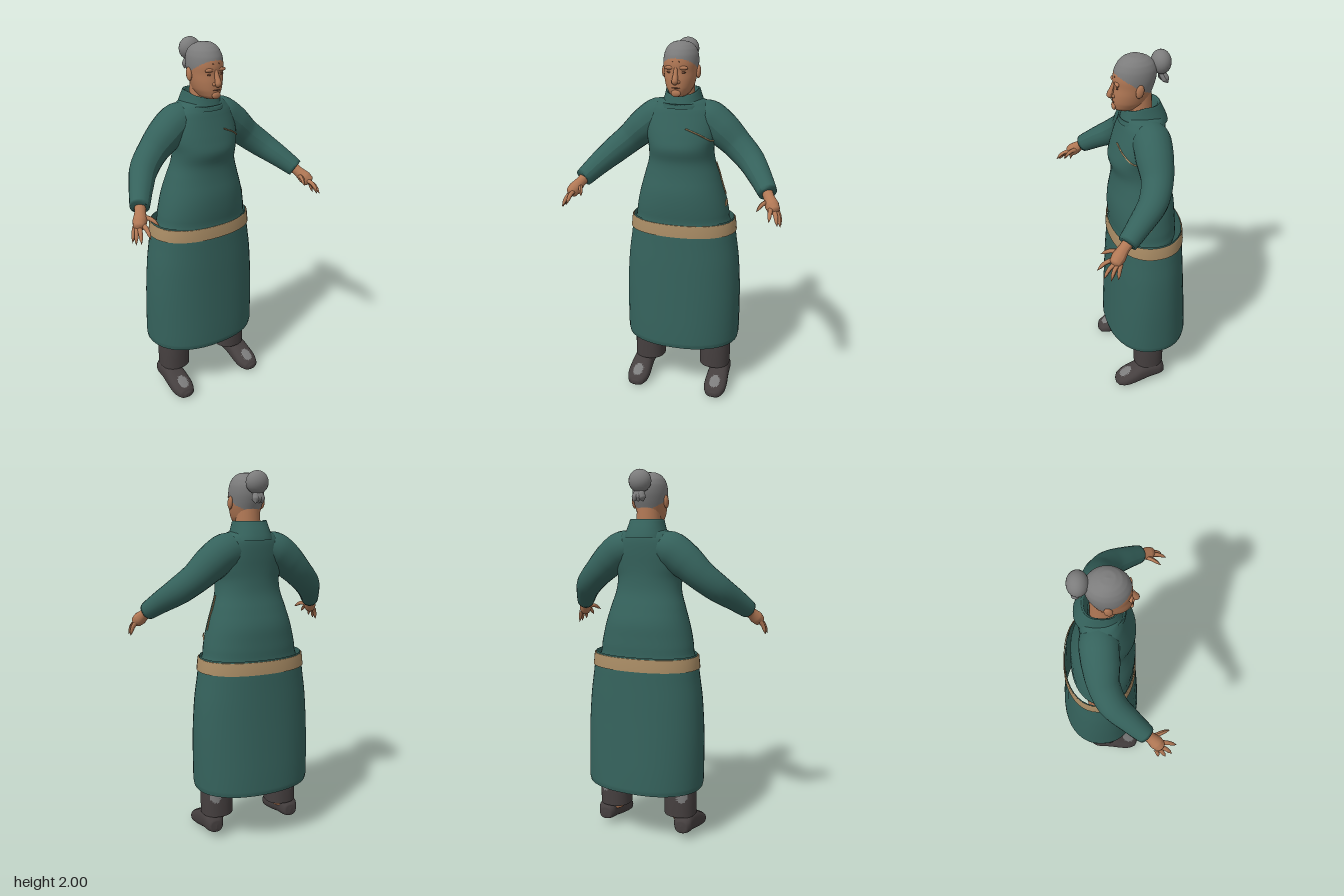
import * as THREE from 'three';

const mat = (name, color, double) => {
  const m = new THREE.MeshStandardMaterial({ color });
  m.name = name;
  if (double) m.side = THREE.DoubleSide;
  return m;
};

// Cross-sections are rows of [y, half width, front z, back z]
function sample(rows, u) {
  const i = Math.min(Math.floor(u), rows.length - 2), f = u - i;
  const at = k => rows[Math.max(0, Math.min(rows.length - 1, k))];
  const [p, a, b, q] = [at(i - 1), at(i), at(i + 1), at(i + 2)];
  return a.map((v, k) => k === 0 ? v + (b[0] - v) * f
    : 0.5 * (2 * v + (b[k] - p[k]) * f + (2 * p[k] - 5 * v + 4 * b[k] - q[k]) * f * f
      + (3 * v - p[k] - 3 * b[k] + q[k]) * f * f * f));
}

const ringPoint = ([y, hx, zf, zb], t, e = 1, grow = 0) => {
  const pw = v => Math.sign(v) * Math.abs(v) ** e;
  return new THREE.Vector3((Math.max(hx, 0) + grow) * pw(Math.sin(t)), y,
    (zf + zb) / 2 + ((zf - zb) / 2 + grow) * pw(Math.cos(t)));
};

// Point on a lofted surface at height y and angle t (0 = front, PI/2 = left)
function surface(rows, y, t, grow = 0.002) {
  let i = 0;
  while (i < rows.length - 2 && rows[i + 1][0] < y) i++;
  return ringPoint(sample(rows, i + (y - rows[i][0]) / (rows[i + 1][0] - rows[i][0])), t, 1, grow);
}

function loft(rows, { sides = 40, steps = 4, e = 1, warp } = {}) {
  const pos = [], index = [], n = (rows.length - 1) * steps;
  for (let i = 0; i <= n; i++) {
    const s = sample(rows, i / steps);
    for (let j = 0; j < sides; j++) {
      const p = ringPoint(s, j / sides * Math.PI * 2, e);
      if (warp) warp(p);
      pos.push(p.x, p.y, p.z);
      if (i === n) continue;
      const a = i * sides + j, b = i * sides + (j + 1) % sides;
      index.push(a, b, b + sides, a, b + sides, a + sides);
    }
  }
  const g = new THREE.BufferGeometry();
  g.setAttribute('position', new THREE.Float32BufferAttribute(pos, 3));
  g.setIndex(index);
  g.computeVertexNormals();
  return g;
}

// Sorts triangles into two material groups by the place of their centre
function twoTone(g, isSecond) {
  const p = g.attributes.position, ix = g.index.array, sets = [[], []];
  for (let i = 0; i < ix.length; i += 3) {
    const tri = [ix[i], ix[i + 1], ix[i + 2]], c = new THREE.Vector3();
    tri.forEach(k => c.add(new THREE.Vector3().fromBufferAttribute(p, k)));
    sets[isSecond(c.divideScalar(3)) ? 1 : 0].push(...tri);
  }
  g.setIndex([...sets[0], ...sets[1]]);
  g.addGroup(0, sets[0].length, 0);
  g.addGroup(sets[0].length, sets[1].length, 1);
  return g;
}

// Tube whose radius follows a list
function limb(points, radii, sides = 16, seg = 24) {
  const curve = new THREE.CatmullRomCurve3(points.map(p => new THREE.Vector3(...p)));
  const g = new THREE.TubeGeometry(curve, seg, 1, sides), p = g.attributes.position;
  for (let i = 0; i <= seg; i++) {
    const c = curve.getPointAt(i / seg), u = curve.getUtoTmapping(i / seg) * (radii.length - 1);
    const k = Math.min(Math.floor(u), radii.length - 2), r = radii[k] + (radii[k + 1] - radii[k]) * (u - k);
    for (let j = 0; j <= sides; j++) {
      const v = new THREE.Vector3().fromBufferAttribute(p, i * (sides + 1) + j).sub(c).multiplyScalar(r).add(c);
      p.setXYZ(i * (sides + 1) + j, v.x, v.y, v.z);
    }
  }
  g.computeVertexNormals();
  return g;
}

export function createModel() {
  const cloth = mat('green cloth', 0x35625c, true), skin = mat('skin', 0xb17855);
  const hair = mat('grey hair', 0x7c7c7c), dark = mat('dark leather', 0x453f3f, true);
  const tan = mat('tan trim', 0xa88b64, true), brown = mat('brown', 0x6e4834);
  const model = new THREE.Group();
  const add = (name, g, m, parent = model) => {
    const mesh = new THREE.Mesh(g, m);
    mesh.name = name;
    parent.add(mesh);
    return mesh;
  };
  const ball = (name, m, at, size, parent) => {
    const mesh = add(name, new THREE.SphereGeometry(1, 20, 14), m, parent);
    mesh.position.set(...at);
    mesh.scale.set(...size);
    return mesh;
  };

  // Skirt, belt and tunic
  add('skirt', loft([[0.30, 0.325, 0.15, -0.312], [0.33, 0.33, 0.155, -0.315], [0.6, 0.33, 0.142, -0.298],
    [0.8, 0.318, 0.13, -0.285], [0.97, 0.295, 0.118, -0.275], [1.04, 0.285, 0.112, -0.268]], { e: 0.9 }), cloth);
  add('belt', loft([[0.965, 0.302, 0.125, -0.281], [1.03, 0.295, 0.12, -0.276], [1.032, 0.289, 0.115, -0.271]],
    { e: 0.9, steps: 1 }), tan);
  const torso = [[0.98, 0, -0.05, -0.06], [0.985, 0.25, 0.1, -0.22], [1.05, 0.262, 0.112, -0.235], [1.13, 0.25, 0.118, -0.232],
    [1.21, 0.23, 0.115, -0.225], [1.3, 0.203, 0.1, -0.198], [1.37, 0.182, 0.096, -0.176], [1.44, 0.178, 0.112, -0.168],
    [1.5, 0.19, 0.098, -0.168], [1.57, 0.19, 0.075, -0.172], [1.64, 0.17, 0.052, -0.172], [1.68, 0.13, 0.035, -0.16],
    [1.7, 0.08, 0.02, -0.13]];
  add('tunic', loft(torso, { e: 0.92 }), cloth);
  add('collar', loft([[1.65, 0.116, 0.06, -0.19], [1.7, 0.1, 0.045, -0.172], [1.745, 0.088, 0.03, -0.15],
    [1.74, 0.078, 0.022, -0.138], [1.67, 0.07, 0.01, -0.12]],
    { e: 0.85, warp: p => { if (p.y > 1.68) p.y -= 0.03 * Math.max(0, (p.z + 0.05) / 0.09); } }), cloth);

  // Cords and tassel on the left side of the tunic
  const cord = (name, list) => add(name, limb(list.map(([y, t]) => surface(torso, y, t, 0.006).toArray()),
    [0.004, 0.004], 6), tan);
  cord('chestCord', [[1.555, 0.26], [1.525, 0.65], [1.49, 1.1], [1.485, 1.4]]);
  cord('sideCord', [[1.36, 1.6], [1.3, 1.6], [1.25, 1.55], [1.18, 1.58]]);
  const tassel = add('tassel', new THREE.CircleGeometry(0.024, 6), tan);
  tassel.position.copy(surface(torso, 1.14, 1.42, 0.008));
  tassel.rotation.y = 1.4;

  // Head, with the hair cap as a second colour
  const head = new THREE.Group();
  head.name = 'head';
  model.add(head);
  const skull = [[1.712, 0, 0.055, 0.02], [1.716, 0.034, 0.074, -0.05], [1.73, 0.052, 0.082, -0.07], [1.76, 0.07, 0.087, -0.09],
    [1.8, 0.081, 0.087, -0.105], [1.84, 0.087, 0.083, -0.12], [1.88, 0.091, 0.084, -0.13], [1.92, 0.088, 0.076, -0.13],
    [1.95, 0.077, 0.059, -0.116], [1.97, 0.06, 0.038, -0.092], [1.983, 0.036, 0.01, -0.06], [1.988, 0, -0.02, -0.03]];
  add('skull', twoTone(loft(skull, { sides: 72, steps: 6 }), c => c.y > 1.86 + 0.62 * c.z), [skin, hair], head);
  add('neck', new THREE.CylinderGeometry(0.062, 0.07, 0.16, 24).translate(0, 1.73, -0.045), skin, head);
  ball('bun', hair, [0, 1.937, -0.155], [0.06, 0.059, 0.05], head);
  for (const s of [-1, 0, 1])
    add('bunTail', limb([[0, 1.905, -0.15], [s * 0.012, 1.87, -0.165], [s * 0.025, 1.832, -0.178 - 0.008 * s]],
      [0.012, 0.017, 0.02, 0.02, 0], 10), hair, head);

  // Face
  add('nose', limb([[0, 1.86, 0.078], [0, 1.825, 0.09], [0, 1.795, 0.1], [0, 1.783, 0.088]],
    [0.009, 0.013, 0.017, 0.008], 12), skin, head);
  const faceSpot = (name, m, x, y, size) =>
    ball(name, m, surface(skull, y, Math.asin(x / 0.088), 0).toArray(), size, head);
  faceSpot('lips', brown, 0, 1.762, [0.024, 0.003, 0.004]);
  faceSpot('chin', skin, 0, 1.735, [0.026, 0.018, 0.01]);
  for (const s of [-1, 1]) {
    faceSpot('eye', brown, s * 0.036, 1.84, [0.015, 0.005, 0.004]);
    faceSpot('brow', skin, s * 0.036, 1.862, [0.026, 0.01, 0.01]);
    faceSpot('eyebrow', brown, s * 0.038, 1.857, [0.02, 0.004, 0.009]);
    faceSpot('nostrilWing', skin, s * 0.016, 1.793, [0.01, 0.009, 0.009]);
    faceSpot('foreheadSpot', brown, s * 0.017, 1.893, [0.004, 0.003, 0.002]);
    ball('ear', skin, [s * 0.092, 1.835, -0.025], [0.012, 0.034, 0.02], head).rotation.x = -0.2;
  }

  // Arms, hands, legs and shoes, once for each side
  for (const s of [-1, 1]) {
    const side = (name, pts, radii, m, sides, seg) =>
      add(name, limb(pts.map(([x, y, z]) => [s * x, y, z]), radii, sides, seg), m);
    side('sleeve', [[0.07, 1.6, -0.07], [0.14, 1.587, -0.072], [0.22, 1.53, -0.066], [0.3, 1.46, -0.055], [0.38, 1.392, -0.012],
      [0.45, 1.325, 0.075], [0.505, 1.265, 0.155], [0.5, 1.27, 0.148]],
      [0.085, 0.098, 0.094, 0.08, 0.073, 0.06, 0.046, 0.03], cloth, 20, 40);
    side('palm', [[0.49, 1.28, 0.13], [0.512, 1.25, 0.17], [0.532, 1.222, 0.2], [0.548, 1.2, 0.222], [0.555, 1.19, 0.232]],
      [0.028, 0.028, 0.036, 0.03, 0], skin);
    const fingers = [[[0.53, 1.212, 0.225], [0.535, 1.165, 0.308]], [[0.547, 1.2, 0.222], [0.574, 1.14, 0.285]],
      [[0.556, 1.197, 0.212], [0.586, 1.127, 0.252]], [[0.558, 1.2, 0.197], [0.585, 1.125, 0.216]],
      [[0.505, 1.232, 0.188], [0.466, 1.205, 0.274]]];
    fingers.forEach(([a, b], i) => {
      const mid = a.map((v, k) => (v + b[k]) / 2 + (k === 1 ? 0.012 : 0));
      side(i === 4 ? 'thumb' : 'finger', [a, mid, b], [0.013, 0.012, 0.011, 0.009, 0], skin, 10, 14);
    });

    side('leg', [[0.13, 1.0, -0.06], [0.17, 0.6, -0.06], [0.2, 0.3, -0.06], [0.21, 0.1, -0.06]],
      [0.11, 0.085, 0.068, 0.05], skin);
    add('trouserLeg', twoTone(loft([[0.13, 0.088, 0.03, -0.143], [0.22, 0.088, 0.03, -0.143], [0.32, 0.084, 0.028, -0.14],
      [0.42, 0.084, 0.028, -0.14]], { steps: 10, e: 0.9 }),
      c => Math.hypot((c.x * s - 0.035) / 0.03, (c.y - 0.255) / 0.04) < 1 && c.z < -0.06), [dark, hair])
      .position.x = s * 0.2;
    const shoe = loft([[-0.142, 0, -0.06, -0.08], [-0.138, 0.035, -0.042, -0.11], [-0.11, 0.052, -0.034, -0.14],
      [-0.05, 0.056, -0.026, -0.145], [0.0, 0.06, -0.014, -0.135], [0.05, 0.064, -0.006, -0.108], [0.1, 0.062, -0.001, -0.082],
      [0.14, 0.045, -0.004, -0.058], [0.154, 0.02, -0.014, -0.04], [0.156, 0, -0.024, -0.03]], { steps: 5, e: 0.8 });
    shoe.rotateX(Math.PI / 2);
    add('shoe', twoTone(shoe, c => c.y > 0.045 && Math.hypot(c.x / 0.03, (c.z - 0.095) / 0.034) < 1), [dark, hair])
      .position.x = s * 0.235;
  }
  return model;
}
